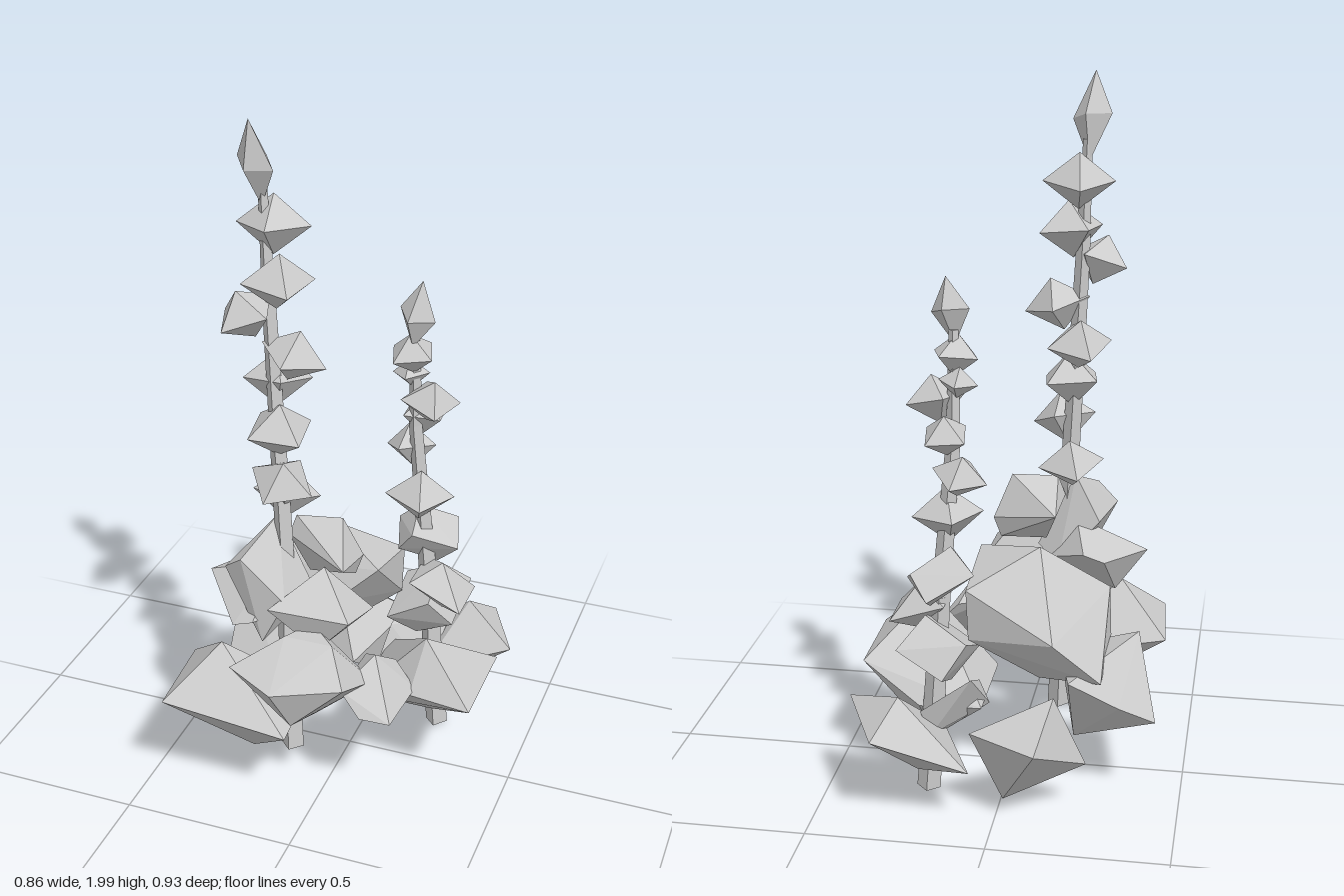
import * as THREE from 'three';
import { ConvexGeometry } from 'three/addons/geometries/ConvexGeometry.js';

const V = (p) => new THREE.Vector3(...p);

export function createModel() {
  const model = new THREE.Group();
  const material = new THREE.MeshStandardMaterial({ color: 0xcccccc, flatShading: true });

  const add = (name, geometry) => {
    const mesh = new THREE.Mesh(geometry, material);
    mesh.name = name;
    model.add(mesh);
    return mesh;
  };

  // Faceted clump: a centre and half-axes, with a corner at both ends of each axis
  const clump = (name, centre, ...axes) => {
    const c = V(centre);
    add(name, new ConvexGeometry(axes.flatMap((a) => [c.clone().add(V(a)), c.clone().sub(V(a))])));
  };

  // Four-sided stem that tapers through a list of points
  const stem = (name, points, r0, r1) => {
    const n = points.length - 1;
    const radius = (i) => r0 + ((r1 - r0) * i) / n;
    for (let i = 0; i < n; i++) {
      const a = V(points[i]), b = V(points[i + 1]);
      const dir = b.clone().sub(a);
      const mesh = add(name, new THREE.CylinderGeometry(radius(i + 1), radius(i), dir.length(), 4));
      mesh.position.copy(a).add(b).multiplyScalar(0.5);
      mesh.quaternion.setFromUnitVectors(new THREE.Vector3(0, 1, 0), dir.normalize());
    }
  };

  // Small tilted florets climbing a stem, each as x, y, z, radius
  const florets = (name, list, stemX, stemZ) => list.forEach(([x, y, z, r], i) => {
    const mesh = add(name, new THREE.OctahedronGeometry(1));
    mesh.position.set(x, y, z);
    mesh.scale.set(r, r * 0.8, r);
    // lean away from the stem
    const out = new THREE.Vector3((x - stemX) * 5, 1, (z - stemZ) * 5).normalize();
    mesh.quaternion.setFromUnitVectors(new THREE.Vector3(0, 1, 0), out)
      .multiply(new THREE.Quaternion().setFromAxisAngle(new THREE.Vector3(0, 1, 0), i * 1.1 + 0.3));
  });

  // Stems
  stem('tallStem', [[-0.11, 0.11, 0.19], [-0.135, 0.8, 0.165], [-0.17, 1.5, 0.15], [-0.18, 1.82, 0.15]], 0.034, 0.013);
  stem('shortStem', [[0.215, 0.01, -0.195], [0.175, 0.6, -0.18], [0.14, 1.05, -0.155], [0.14, 1.35, -0.135]], 0.034, 0.013);

  // Large leaf clumps around the base
  clump('frontLeftLeaf', [-0.24, 0.32, 0.28], [-0.17, 0.03, 0.15], [-0.19, 0.03, -0.12], [-0.045, 0.17, 0]);
  clump('frontLeaf', [-0.03, 0.46, 0.31], [-0.18, 0.04, 0.09], [0.15, 0.03, 0.08], [-0.035, 0.02, 0.155],
    [0, -0.115, 0.09], [0.09, 0.115, 0], [-0.05, 0.115, 0]);
  clump('smallFrontLeaf', [0.165, 0.4, 0.225], [0.085, -0.03, -0.08], [0.065, -0.05, 0.085], [-0.02, -0.04, 0.1], [-0.015, 0.1, -0.02]);
  clump('sideLeaf', [0.24, 0.31, -0.01], [0.18, 0.04, 0.19], [0.18, 0.04, -0.1], [0.02, 0.19, 0.09], [0, 0.05, 0.18]);
  clump('otherSideLeaf', [-0.28, 0.32, -0.09], [-0.15, -0.05, -0.12], [0.09, 0.07, -0.16], [-0.09, 0.165, 0.01], [0.05, 0, 0.15]);
  clump('backLeaf', [-0.09, 0.22, -0.32], [0.155, 0.06, -0.05], [-0.035, 0.05, -0.14], [0.07, -0.16, 0]);
  clump('backCornerLeaf', [0.245, 0.24, -0.32], [0.185, 0.06, 0.09], [0.075, 0.04, -0.145], [-0.02, -0.125, 0.03]);
  clump('shortBackLeaf', [0.13, 0.28, -0.22], [-0.06, 0.065, 0.05], [0.08, 0.03, -0.1], [0.05, -0.1, 0.03]);
  clump('centreLeaf', [-0.09, 0.53, -0.1], [0.19, 0.14, 0.14], [-0.06, -0.02, -0.175], [-0.19, 0.06, 0.08],
    [0.195, 0.09, -0.085], [0, 0.195, 0.01]);

  // Middle leaf clumps at the foot of the tall spire
  clump('tallMiddleLeaf', [-0.22, 0.62, 0.15], [-0.15, 0.02, 0], [-0.02, -0.05, 0.15], [0.06, 0.1, 0.02], [-0.04, 0.03, -0.15]);
  clump('tallUpperLeaf', [-0.16, 0.69, 0.21], [0.07, -0.03, 0.07], [0, 0.17, -0.07], [-0.11, 0.05, 0.06], [-0.05, 0.1, 0.09]);
  clump('innerLeaf', [-0.01, 0.62, 0.21], [0.1, 0, 0.05], [-0.12, 0.03, 0.1], [0, 0.12, -0.03]);
  clump('topLeaf', [-0.03, 0.77, 0.11], [0.1, -0.03, -0.03], [0.09, -0.01, 0.11], [0.05, 0.095, 0], [-0.08, 0.09, 0.02]);

  // Middle leaf clumps at the foot of the short spire
  clump('shortOuterLeaf', [0.24, 0.55, -0.13], [0.08, -0.03, -0.07], [0.08, -0.03, 0.09], [0, 0.075, 0]);
  clump('shortUpperLeaf', [0.17, 0.67, -0.21], [0.07, 0.03, -0.07], [-0.1, 0.02, -0.03], [0.03, -0.09, 0], [-0.02, 0.04, 0.1]);
  clump('shortLowerLeaf', [0.18, 0.45, -0.2], [0.1, 0.03, -0.1], [0.03, 0.05, 0.11], [-0.03, -0.11, 0.03], [-0.09, 0.04, -0.06]);

  // Florets on both spires
  florets('tallFloret', [
    [-0.15, 0.91, 0.1, 0.095], [-0.115, 1.01, 0.22, 0.095], [-0.14, 1.14, 0.17, 0.1],
    [-0.17, 1.26, 0.1, 0.095], [-0.1, 1.36, 0.155, 0.095], [-0.215, 1.48, 0.2, 0.09],
    [-0.135, 1.57, 0.17, 0.1], [-0.16, 1.71, 0.13, 0.1],
  ], -0.155, 0.155);
  florets('shortFloret', [
    [0.16, 0.83, -0.145, 0.1], [0.115, 0.96, -0.2, 0.08], [0.155, 1.07, -0.19, 0.075],
    [0.195, 1.15, -0.115, 0.085], [0.125, 1.21, -0.155, 0.055], [0.135, 1.28, -0.13, 0.075],
  ], 0.15, -0.15);

  // Pointed buds at the tips
  clump('tallBud', [-0.19, 1.88, 0.17], [-0.005, 0.12, 0.025], [0.055, -0.01, 0.015], [-0.015, -0.01, 0.04]);
  clump('shortBud', [0.15, 1.4, -0.125], [0.01, 0.095, -0.01], [0.055, -0.01, 0.015], [-0.015, -0.01, 0.045]);

  return model;
}
